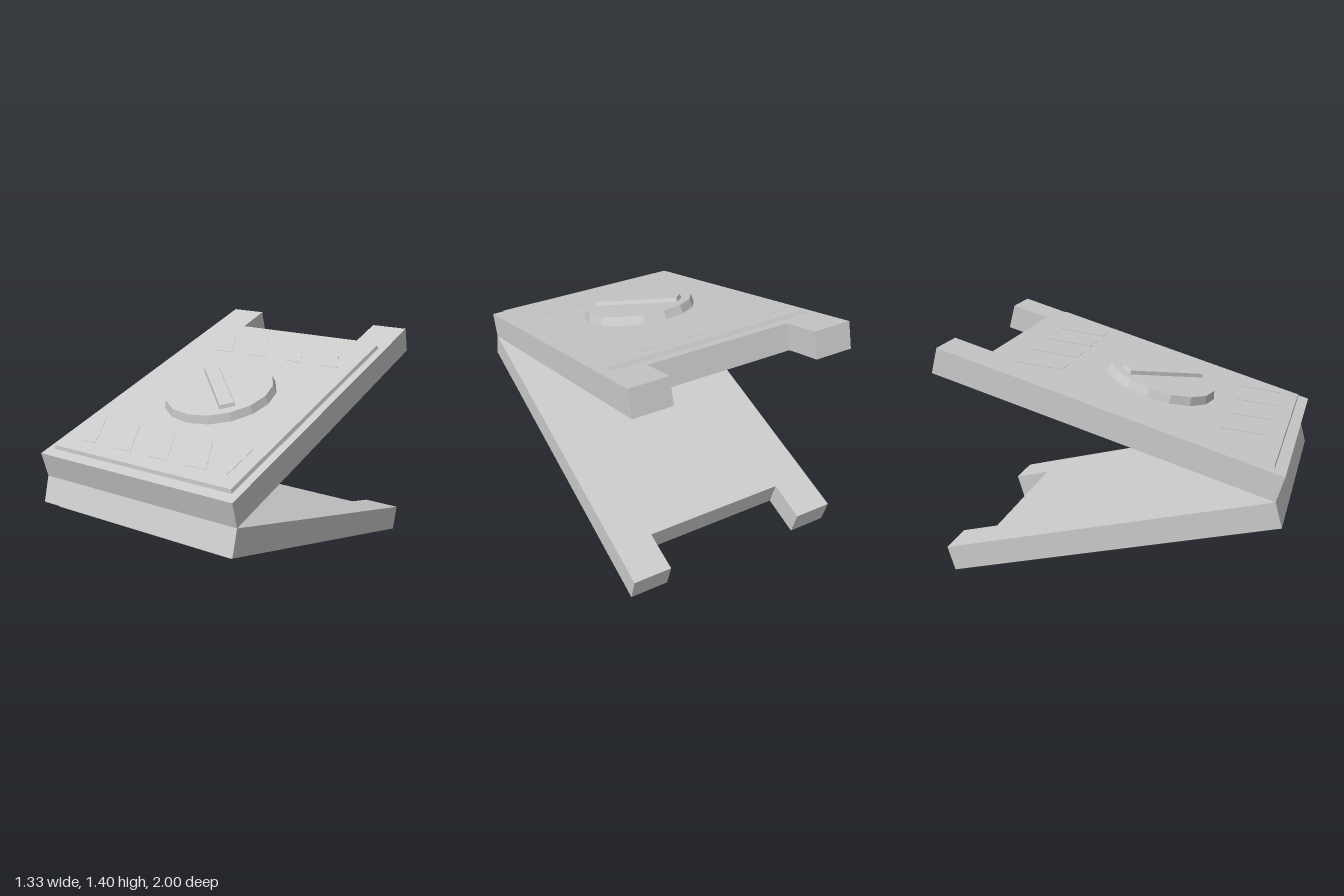
import * as THREE from 'three';

const TILT = THREE.MathUtils.degToRad(15.75);
const LENGTH = 2.035, WIDTH = 0.665, THICK = 0.155; // WIDTH is half the slab width
const PLATE_H = 0.0225, DIAL_H = 0.05, BAR_H = 0.022, STRIPE_H = 0.002;
const DRAFT = 0.27; // inward slope of the raised parts
const DIAL_U = 0.875; // distance of the dial from the hinge edge

const material = new THREE.MeshStandardMaterial({ color: 0xcccccc, flatShading: true });

function addMesh(parent, name, geometry, y = 0, z = 0) {
  const mesh = new THREE.Mesh(geometry, material);
  mesh.name = name;
  mesh.position.set(0, y, z);
  parent.add(mesh);
  return mesh;
}

// Flat outline in (x, distance from hinge), raised to a height
function slab(points, height) {
  const shape = new THREE.Shape(points.map(([x, u]) => new THREE.Vector2(x, u)));
  return new THREE.ExtrudeGeometry(shape, { depth: height, bevelEnabled: false }).rotateX(-Math.PI / 2);
}

// Box standing on y = 0 whose top is drawn in on all sides
function draftedBox(w, h, d) {
  const geometry = new THREE.BoxGeometry(w, h, d).translate(0, h / 2, 0);
  const p = geometry.attributes.position;
  for (let i = 0; i < p.count; i++) {
    if (p.getY(i) < h / 2) continue;
    p.setX(i, p.getX(i) - Math.sign(p.getX(i)) * h * DRAFT);
    p.setZ(i, p.getZ(i) - Math.sign(p.getZ(i)) * h * DRAFT);
  }
  geometry.computeVertexNormals();
  return geometry;
}

// One leaf, hinged at its front lower edge; side mirrors the slanted details
function createLeaf(name, side) {
  const leaf = new THREE.Group();
  leaf.name = name;

  // Slab with a notch between two prongs at the back
  const notchX = 0.435, notchU = 1.797;
  addMesh(leaf, 'slab', slab([
    [-WIDTH, 0], [WIDTH, 0], [WIDTH, LENGTH], [notchX, LENGTH],
    [notchX, notchU], [-notchX, notchU], [-notchX, LENGTH], [-WIDTH, LENGTH],
  ], THICK));

  // Raised plate
  const u0 = 0.066, u1 = 1.732;
  addMesh(leaf, 'plate', draftedBox(1.235, PLATE_H, u1 - u0), THICK, -(u0 + u1) / 2);

  // Slanted stripes: four at the back, three and two corner triangles at the front
  const plateTop = THICK + PLATE_H, step = 0.13, edge = 4 * step;
  const stripe = (points) => addMesh(leaf, 'stripe',
    slab(points.map(([x, u]) => [x * side, u]), STRIPE_H), plateTop);
  const slanted = (x, near, far) => stripe([
    [x, far], [x + step, far], [x + 2 * step, near], [x + step, near],
  ]);
  const back = [1.384, 1.635], front = [0.171, 0.422];
  for (let i = 0; i < 4; i++) slanted(-edge + 2 * i * step, ...back);
  for (let i = 0; i < 3; i++) slanted(-edge + (2 * i + 1) * step, ...front);
  stripe([[-edge, front[1]], [-edge + step, front[0]], [-edge, front[0]]]);
  stripe([[edge - step, front[1]], [edge, front[1]], [edge, front[0]]]);

  // Dial with a diagonal grip bar
  const radius = 0.339;
  addMesh(leaf, 'dial', new THREE.CylinderGeometry(radius - DIAL_H * DRAFT, radius, DIAL_H, 16),
    plateTop + DIAL_H / 2, -DIAL_U);
  const bar = addMesh(leaf, 'gripBar', draftedBox(0.525, BAR_H, 0.095), plateTop + DIAL_H, -DIAL_U);
  bar.rotation.y = -side * Math.PI / 4;

  // Swing the leaf open about the shared hinge edge
  leaf.position.z = 1 - THICK * Math.sin(TILT);
  leaf.rotation.x = TILT;
  return leaf;
}

export function createModel() {
  const model = new THREE.Group();
  model.name = 'foldingCase';
  const hingeY = LENGTH * Math.sin(TILT) + THICK * Math.cos(TILT);

  for (const [name, side] of [['upper', 1], ['lower', -1]]) {
    const half = new THREE.Group();
    half.name = name + 'Half';
    half.position.y = hingeY;
    if (side < 0) half.rotation.z = Math.PI; // turned over, outer face down
    half.add(createLeaf(name + 'Leaf', side));
    model.add(half);
  }
  return model;
}
